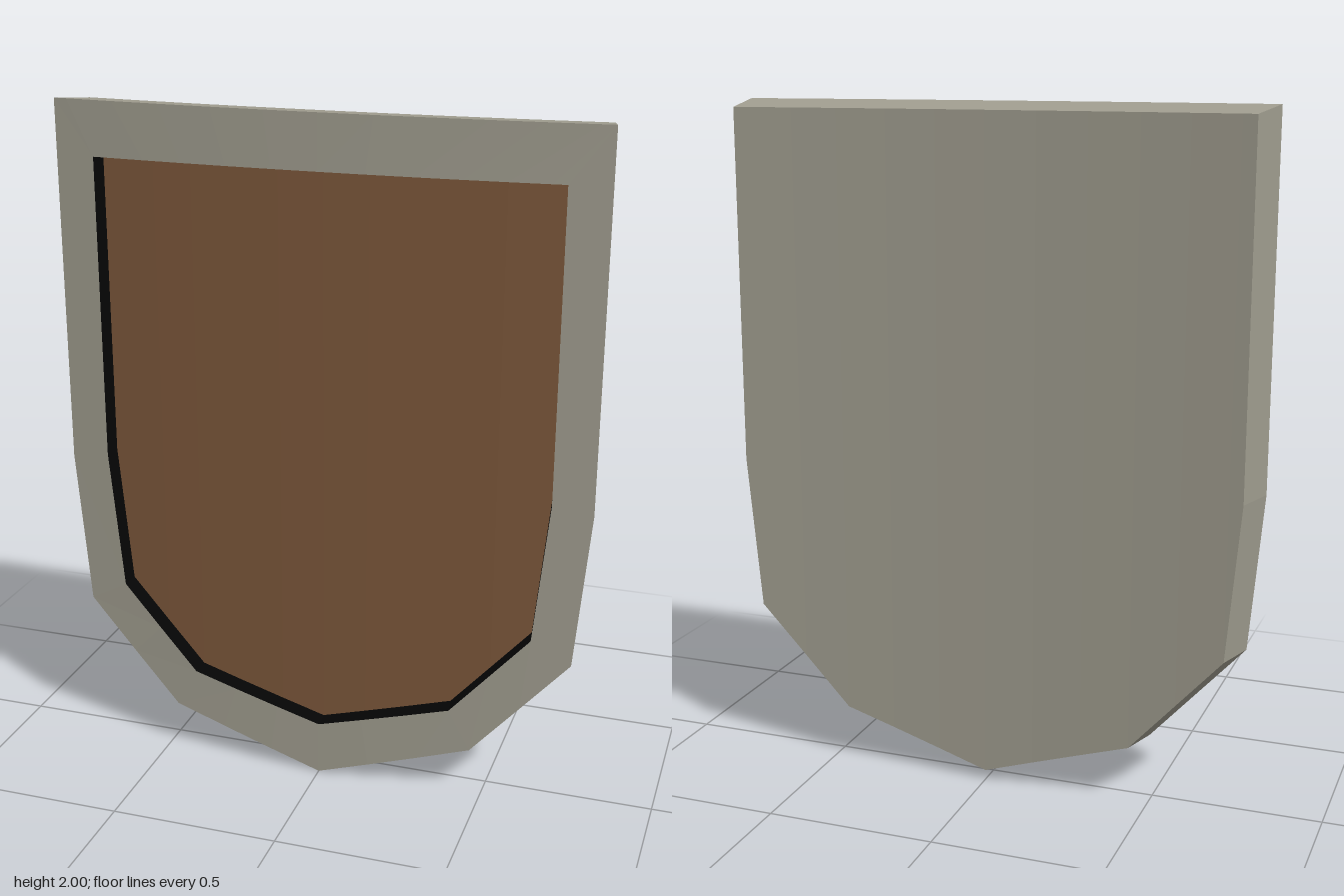
import * as THREE from 'three';

const SUBDIVISIONS = [3, 2, 1]; // extra points along each lower edge, centre to side

// Closed counter-clockwise loop from a half outline (centre tip to side) and a top height,
// bowed so that the middle stands forward.
function makeLoop(half, topY, zMid, bow) {
  const right = [half[0]];
  SUBDIVISIONS.forEach((n, s) => {
    for (let k = 1; k <= n; k++) {
      const t = k / n;
      right.push([
        half[s][0] + (half[s + 1][0] - half[s][0]) * t,
        half[s][1] + (half[s + 1][1] - half[s][1]) * t,
      ]);
    }
  });
  const left = right.slice(1).reverse().map(([x, y]) => [-x, y]);
  const bottom = [...left, ...right];
  const top = bottom.map(([x]) => [x, topY]).reverse();
  return [...bottom, ...top].map(([x, y]) => new THREE.Vector3(x, y, zMid - bow * x * x));
}

function quad(out, a, b, c, d) {
  for (const p of [a, b, c, a, c, d]) out.push(p.x, p.y, p.z);
}

// Band of faces joining two matching loops
function band(out, a, b) {
  for (let i = 0; i < a.length; i++) {
    const j = (i + 1) % a.length;
    quad(out, a[i], a[j], b[j], b[i]);
  }
}

// Fill a loop with upright strips
function fill(out, loop, faceBack) {
  const n = loop.length;
  for (let i = 0; i < n / 2 - 1; i++) {
    const [a, b, c, d] = [loop[i], loop[i + 1], loop[n - 2 - i], loop[n - 1 - i]];
    if (faceBack) quad(out, d, c, b, a);
    else quad(out, a, b, c, d);
  }
}

function makeMesh(name, positions, material) {
  const geometry = new THREE.BufferGeometry();
  geometry.setAttribute('position', new THREE.Float32BufferAttribute(positions, 3));
  geometry.computeVertexNormals();
  const mesh = new THREE.Mesh(geometry, material);
  mesh.name = name;
  return mesh;
}

export function createModel() {
  const stone = new THREE.MeshStandardMaterial({ color: 0xa19e90 });
  stone.name = 'warm grey metal';
  const wood = new THREE.MeshStandardMaterial({ color: 0x7d583b });
  wood.name = 'brown wood';
  const black = new THREE.MeshStandardMaterial({ color: 0x050505 });
  black.name = 'black';

  // Cross-section loops from back to recessed floor
  const back = makeLoop([[0, 0.03], [0.445, 0.175], [0.72, 0.48], [0.76, 0.94]], 1.98, -0.07, 0.053);
  const front = makeLoop([[0, 0], [0.465, 0.15], [0.75, 0.465], [0.79, 0.93]], 2, 0.1, 0.055);
  const inner = makeLoop([[0, 0.162], [0.4, 0.273], [0.632, 0.53], [0.673, 0.95]], 1.842, 0.1, 0.055);
  const floor = makeLoop([[0, 0.167], [0.394, 0.279], [0.625, 0.534], [0.665, 0.952]], 1.838, 0.05, 0.055);

  const shell = [], rim = [], wall = [], panel = [];
  fill(shell, back, true);
  band(shell, back, front);
  band(rim, front, inner);
  band(wall, inner, floor);
  fill(panel, floor, false);

  const shield = new THREE.Group();
  shield.name = 'shield';
  shield.add(
    makeMesh('backShell', shell, stone),
    makeMesh('frontRim', rim, stone),
    makeMesh('recessWall', wall, black),
    makeMesh('woodPanel', panel, wood),
  );
  return shield;
}
